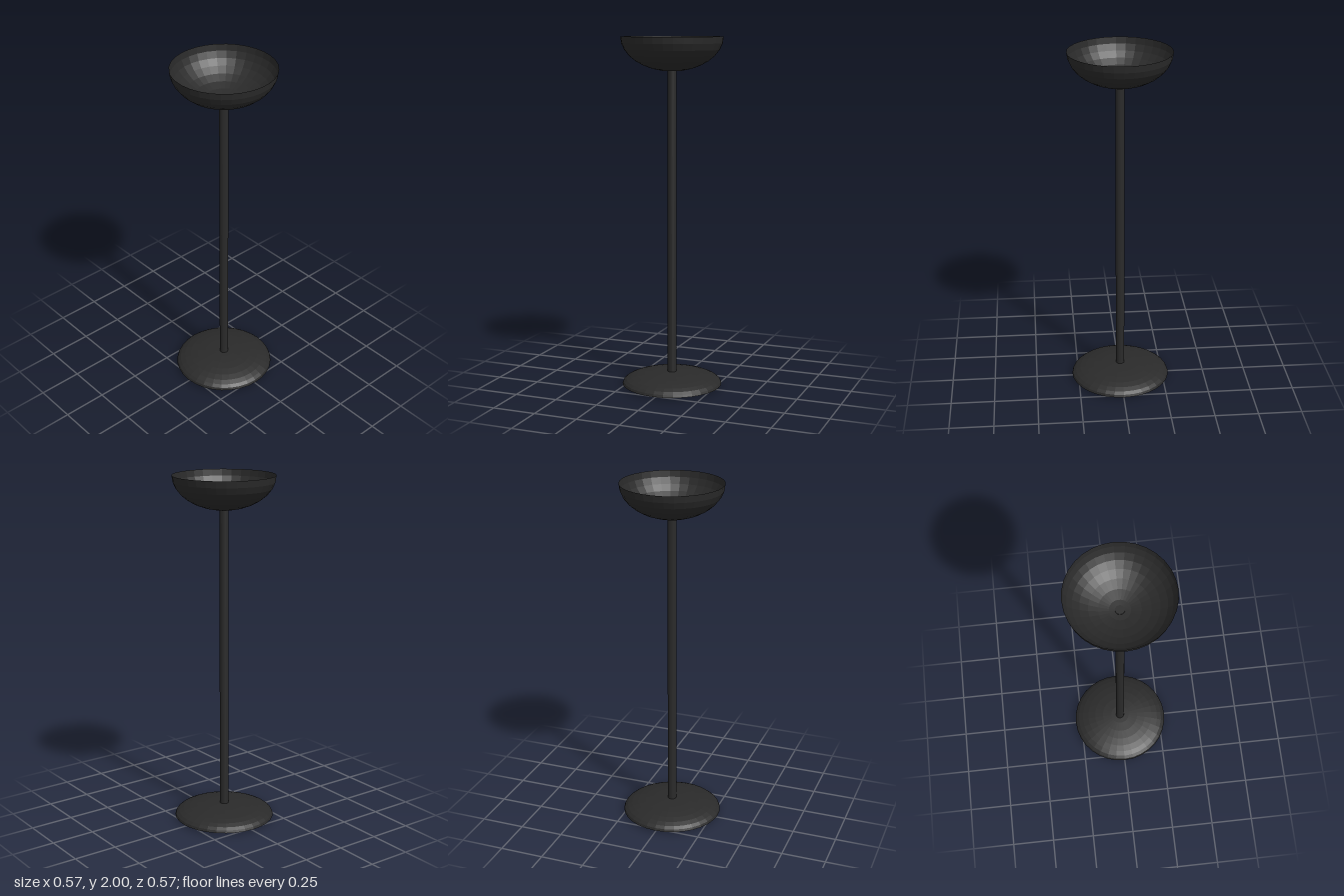
import * as THREE from 'three';

export function createModel() {
  const group = new THREE.Group();
  const radius = 0.287;
  const material = new THREE.MeshStandardMaterial({
    color: 0x2a2a2a, flatShading: true, side: THREE.DoubleSide,
  });

  function add(name, geometry, y) {
    const mesh = new THREE.Mesh(geometry, material);
    mesh.name = name;
    mesh.position.y = y;
    group.add(mesh);
  }

  // Open half-ellipsoid shell; a lower half when thetaStart is PI / 2
  function shell(height, thetaStart) {
    return new THREE.SphereGeometry(1, 32, 8, 0, Math.PI * 2, thetaStart, Math.PI / 2)
      .scale(radius, height, radius);
  }

  // Shallow domed foot, open underneath
  add('base', shell(0.07, 0), 0.011);

  // Slim pole, running from the floor to just inside the bowl
  const poleHeight = 1.815;
  add('pole', new THREE.CylinderGeometry(0.025, 0.025, poleHeight, 32), poleHeight / 2);

  // Upward-facing bowl shade, open on top
  add('bowlShade', shell(0.192, Math.PI / 2), 2);

  return group;
}
